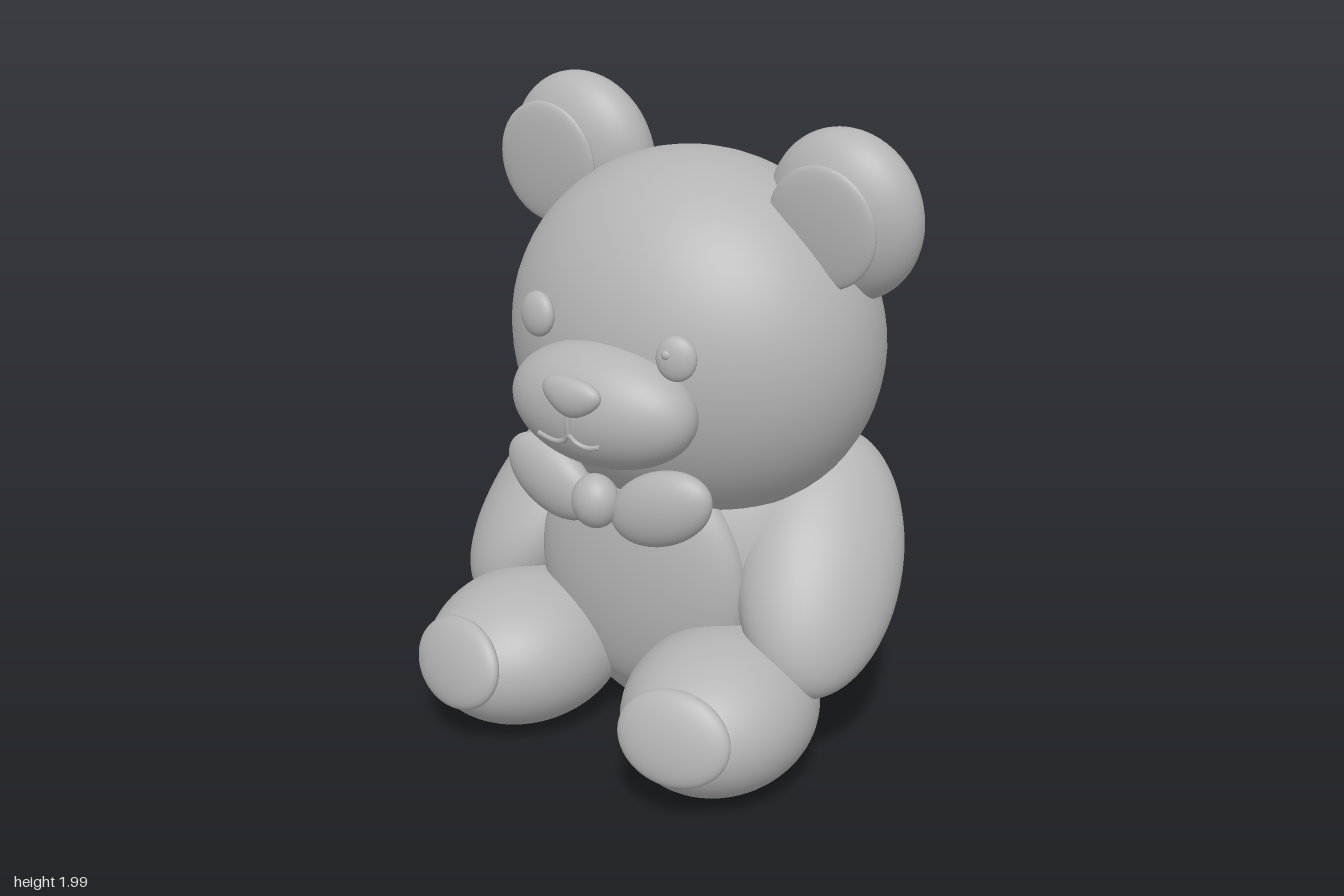
import * as THREE from 'three';

const plush = new THREE.MeshStandardMaterial({ color: 0xb4b4b4 });
plush.name = 'plush grey';

export function createModel() {
  const model = new THREE.Group();
  model.name = 'teddyBear';
  const ball = new THREE.SphereGeometry(1, 48, 32);

  function add(name, geometry, parent = model) {
    const mesh = new THREE.Mesh(geometry, plush);
    mesh.name = name;
    parent.add(mesh);
    return mesh;
  }

  // Ellipsoid part: centre, half sizes and rotation
  function blob(name, centre, size, turn = [0, 0, 0]) {
    const mesh = add(name, ball);
    mesh.position.set(...centre);
    mesh.scale.set(...size);
    mesh.rotation.set(...turn);
    return mesh;
  }

  // Body: ellipsoid cut flat where it sits
  const body = new THREE.Group();
  body.name = 'body';
  body.position.set(0, 0.535, -0.19);
  body.scale.set(0.555, 0.61, 0.465);
  const cut = 0.525 / 0.61;
  add('torso', new THREE.SphereGeometry(1, 48, 32, 0, Math.PI * 2, 0, Math.acos(-cut)), body);
  const seat = add('seat', new THREE.CircleGeometry(Math.sqrt(1 - cut * cut), 48), body);
  seat.rotation.x = Math.PI / 2;
  seat.position.y = -cut;
  model.add(body);
  blob('bellyPatch', [0, 0.555, 0.16], [0.37, 0.4, 0.125]);

  // Head and muzzle
  blob('head', [0.042, 1.27, -0.072], [0.598, 0.565, 0.483]);
  const muzzle = { centre: [0.038, 1.185, 0.4], size: [0.305, 0.183, 0.165] };
  blob('muzzle', muzzle.centre, muzzle.size);

  // Nose: ellipsoid narrowed towards the bottom
  const noseShape = ball.clone();
  const p = noseShape.attributes.position;
  for (let i = 0; i < p.count; i++) {
    p.setX(i, p.getX(i) * (1 + 0.32 * p.getY(i)));
  }
  noseShape.computeVertexNormals();
  const nose = add('nose', noseShape);
  nose.position.set(0.036, 1.252, 0.55);
  nose.scale.set(0.094, 0.06, 0.037);
  nose.rotation.z = -0.05;

  // Stitched mouth lying on the muzzle
  const onMuzzle = ([x, y]) => {
    const [c, s] = [muzzle.centre, muzzle.size];
    const k = 1 - ((x - c[0]) / s[0]) ** 2 - ((y - c[1]) / s[1]) ** 2;
    return new THREE.Vector3(x, y, c[2] + s[2] * Math.sqrt(k) + 0.002);
  };
  const stitch = (name, points) => add(name, new THREE.TubeGeometry(
    new THREE.CatmullRomCurve3(points.map(onMuzzle)), 20, 0.008, 8));
  stitch('mouthCentre', [[0.034, 1.2], [0.033, 1.17], [0.032, 1.14]]);
  stitch('mouthRight', [[0.032, 1.145], [0.012, 1.12], [-0.03, 1.108], [-0.09, 1.115]]);
  stitch('mouthLeft', [[0.032, 1.145], [0.055, 1.122], [0.09, 1.112], [0.132, 1.122]]);

  // Eyes, with a small glint
  blob('rightEye', [-0.202, 1.408, 0.388], [0.064, 0.067, 0.032], [-0.1, -0.2, 0]);
  blob('leftEye', [0.282, 1.368, 0.393], [0.06, 0.065, 0.028], [-0.1, 0.25, 0]);
  blob('eyeGlint', [0.264, 1.382, 0.418], [0.014, 0.014, 0.01]);

  // Ears on the slightly tilted head
  blob('rightEar', [-0.43, 1.735, -0.155], [0.25, 0.265, 0.142], [0.1, 0, 0]);
  blob('leftEar', [0.498, 1.685, -0.15], [0.242, 0.258, 0.142], [0.1, 0, 0]);
  blob('rightInnerEar', [-0.445, 1.742, 0.01], [0.175, 0.19, 0.03], [0.08, 0, 0]);
  blob('leftInnerEar', [0.51, 1.685, 0.01], [0.173, 0.182, 0.03], [0.08, 0, 0]);

  for (const [side, s] of [['left', 1], ['right', -1]]) {
    // Arm: ellipsoid slanting from the shoulder down, outward and forward
    const slant = new THREE.Matrix4().makeBasis(
      new THREE.Vector3(0.22, 0, 0),
      new THREE.Vector3(-0.09 * s, 0.34, -0.195),
      new THREE.Vector3(-0.036 * s, 0, 0.266));
    const arm = add(side + 'Arm', ball.clone().applyMatrix4(slant));
    arm.position.set(0.5 * s, 0.63, -0.068);

    // Leg with foot pad
    blob(side + 'Leg', [0.366 * s, 0.246, 0.28], [0.288, 0.238, 0.343], [0, 0.12 * s, 0]);
    blob(side + 'FootPad', [0.398 * s, 0.298, 0.58], [0.176, 0.142, 0.05], [-0.28, 0.16 * s, 0]);
  }

  // Bow tie with neck band
  blob('bowRight', [-0.207, 0.88, 0.335], [0.175, 0.11, 0.066], [0, -0.1, -0.4]);
  blob('bowLeft', [0.193, 0.873, 0.34], [0.175, 0.112, 0.066], [0, 0.1, 0.45]);
  blob('bowKnot', [-0.01, 0.865, 0.383], [0.074, 0.083, 0.066]);
  const band = add('neckBand', new THREE.TorusGeometry(1, 0.07, 12, 48, Math.PI));
  band.position.set(0, 0.87, -0.19);
  band.scale.set(0.455, 0.385, 0.4);
  band.rotation.x = Math.PI / 2;

  return model;
}
